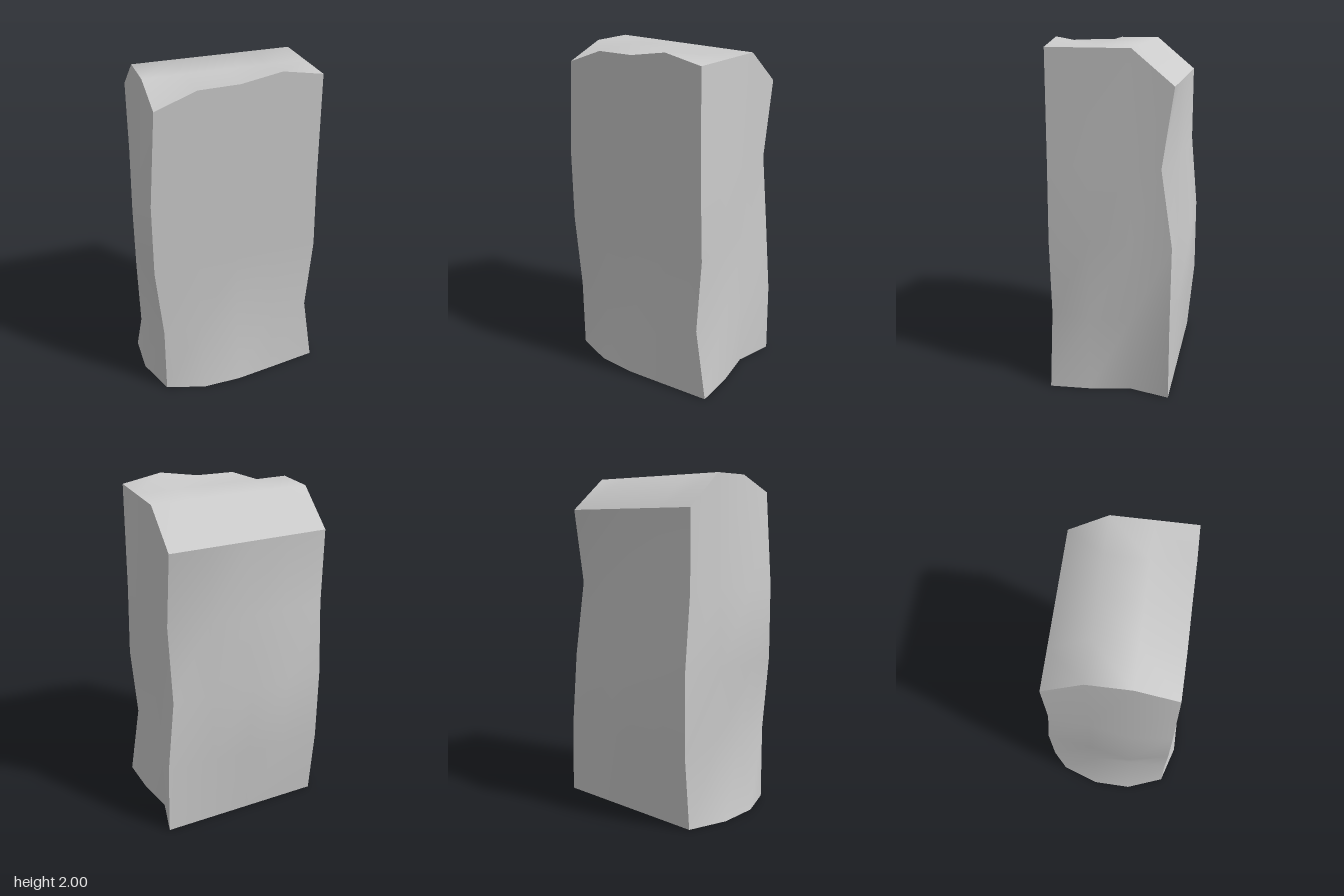
import * as THREE from 'three';

// Grid of the block: columns across x, rows up y, slices back to front along z
const COLS = [-0.45, -0.22, 0.01, 0.24, 0.47];
const ROWS = [0, 0.44, 0.89, 1.33];
const SLICES = [-0.355, -0.125, 0.11, 0.34];
const TOP = [1.77, 1.96, 1.96, 1.96];

// Uneven outlines of the sides, one line per row (bottom to top)
const RIGHT_X = [ // back to front
  [-0.45, -0.53, -0.535, -0.45],
  [-0.45, -0.45, -0.45, -0.45],
  [-0.45, -0.49, -0.535, -0.49],
  [-0.45, -0.47, -0.515, -0.49],
  [-0.45, -0.45, -0.45, -0.45],
];
const LEFT_X = [ // back to front
  [0.53, 0.475, 0.52, 0.535],
  [0.52, 0.475, 0.50, 0.465],
  [0.475, 0.475, 0.49, 0.495],
  [0.47, 0.47, 0.485, 0.48],
  [0.47, 0.47, 0.47, 0.47],
];
const BACK_Z = [ // right to left
  [-0.355, -0.355, -0.355, -0.355, -0.355],
  [-0.395, -0.39, -0.39, -0.36, -0.355],
  [-0.395, -0.415, -0.415, -0.36, -0.355],
  [-0.355, -0.355, -0.345, -0.34, -0.29],
  [-0.355, -0.355, -0.355, -0.355, -0.355],
];
const FRONT_BOTTOM_Z = [0.34, 0.41, 0.41, 0.38, 0.34];
const FRONT_TOP_Y = [1.87, 1.955, 1.96, 2.0, 1.96];

// Position of one grid point
function place(i, j, k) {
  let x = COLS[i], y = j === 4 ? TOP[k] : ROWS[j], z = SLICES[k];
  if (i === 0) x = RIGHT_X[j][k];
  if (i === 4) x = LEFT_X[j][k];
  if (k === 0) z = BACK_Z[j][i];
  if (k === 3 && j === 0) z = FRONT_BOTTOM_Z[i];
  if (k === 3 && j === 4) y = FRONT_TOP_Y[i];
  return [x, y, z];
}

export function createModel() {
  const group = new THREE.Group();
  group.name = 'stone';

  // Box with a sloped back top edge; each side is smooth, the box edges stay sharp
  const geometry = new THREE.BoxGeometry(4, 4, 3, 4, 4, 3);
  const pos = geometry.attributes.position;
  for (let n = 0; n < pos.count; n++) {
    const i = Math.round(pos.getX(n) + 2);
    const j = Math.round(pos.getY(n) + 2);
    const k = Math.round(pos.getZ(n) + 1.5);
    pos.setXYZ(n, ...place(i, j, k));
  }
  geometry.computeVertexNormals();

  const block = new THREE.Mesh(geometry, new THREE.MeshStandardMaterial({ color: 0xcccccc }));
  block.name = 'stoneBlock';
  group.add(block);
  return group;
}
